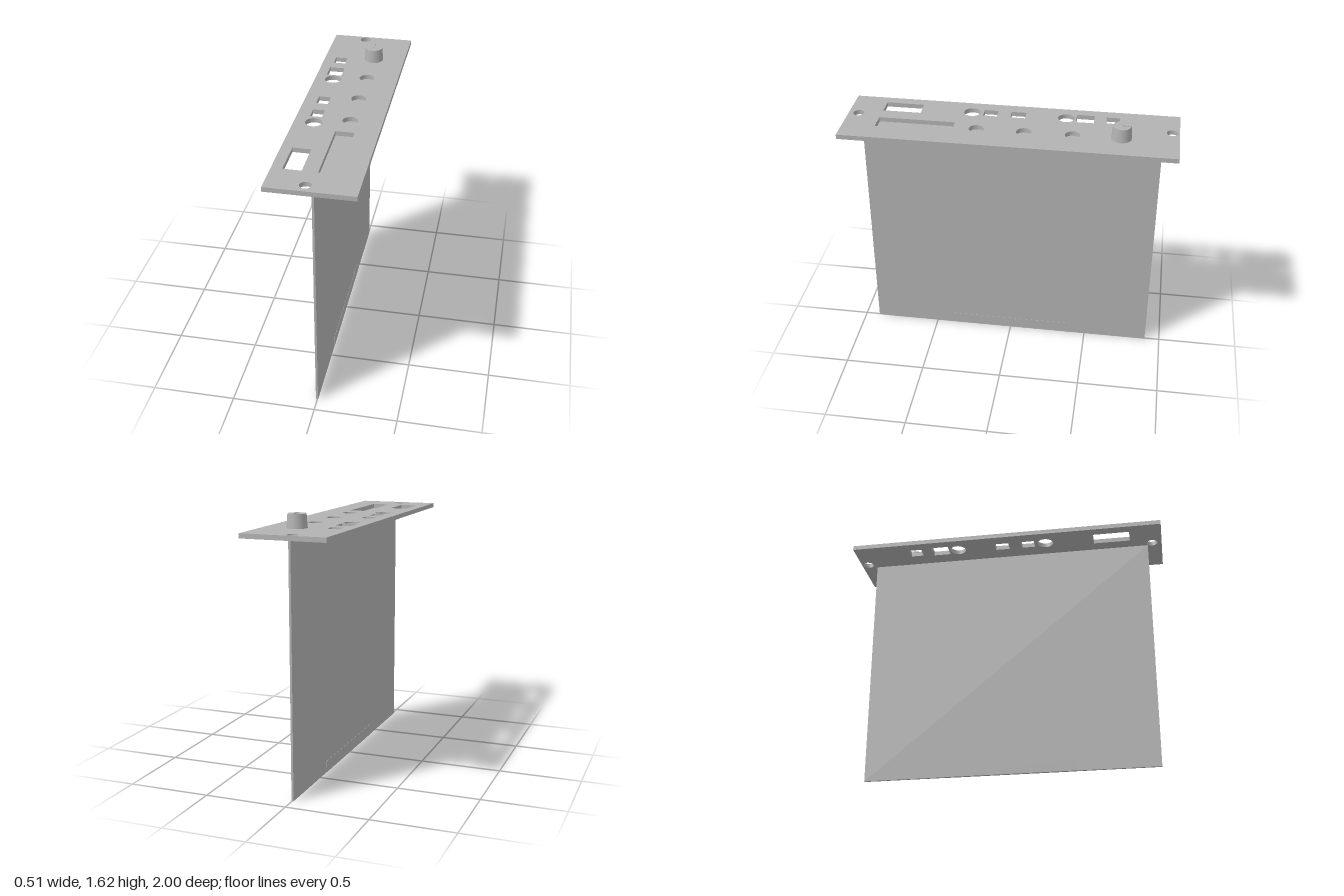
import * as THREE from 'three';

const PANEL_BOTTOM = 1.508, PANEL_TOP = 1.536;

export function createModel() {
  const model = new THREE.Group();
  const grey = new THREE.MeshStandardMaterial({ color: 0xb2b2b2 });
  grey.name = 'plain grey';

  const add = (name, geometry, x = 0, y = 0, z = 0) => {
    const mesh = new THREE.Mesh(geometry, grey);
    mesh.name = name;
    mesh.position.set(x, y, z);
    model.add(mesh);
    return mesh;
  };
  // Box given by its limits on each axis
  const addBox = (name, [x0, x1], [y0, y1], [z0, z1]) =>
    add(name, new THREE.BoxGeometry(x1 - x0, y1 - y0, z1 - z0),
      (x0 + x1) / 2, (y0 + y1) / 2, (z0 + z1) / 2);

  // Outlines lie in plan: shape y is -z
  const rectangle = (path, x0, x1, z0, z1) => {
    path.moveTo(x0, -z0);
    path.lineTo(x0, -z1);
    path.lineTo(x1, -z1);
    path.lineTo(x1, -z0);
    path.closePath();
    return path;
  };

  // Faceplate with its cutouts
  const plate = rectangle(new THREE.Shape(), -0.257, 0.254, -1, 1);
  const roundHoles = [
    [-0.047, -0.956, 0.034], [-0.034, 0.938, 0.034],                        // mounting screws
    [-0.144, -0.32, 0.05], [-0.14, 0.255, 0.05],                            // sockets
    [0.061, -0.376, 0.045], [0.062, -0.087, 0.045], [0.064, 0.196, 0.045],  // dials
  ];
  const squareHoles = [
    [-0.187, -0.113, -0.64, -0.56], [-0.196, -0.103, -0.488, -0.38],
    [-0.178, -0.107, -0.073, 0.017], [-0.178, -0.107, 0.1, 0.184],
    [-0.193, -0.086, 0.566, 0.798], [0.004, 0.114, 0.336, 0.8],
  ];
  for (const [x, z, r] of roundHoles)
    plate.holes.push(new THREE.Path().absarc(x, -z, r, 0, Math.PI * 2, true));
  for (const limits of squareHoles) plate.holes.push(rectangle(new THREE.Path(), ...limits));
  const plateGeometry = new THREE.ExtrudeGeometry(plate, {
    depth: PANEL_TOP - PANEL_BOTTOM, bevelEnabled: false, curveSegments: 24,
  });
  plateGeometry.rotateX(-Math.PI / 2);
  add('faceplate', plateGeometry, 0, PANEL_BOTTOM, 0);

  // Strip closing the dial holes and slider slot from below
  addBox('backingStrip', [-0.002, 0.115], [1.495, PANEL_BOTTOM], [-0.905, 0.91]);

  // Upright circuit board with a slightly thicker edge connector
  addBox('circuitBoard', [-0.009, 0.004], [0, PANEL_BOTTOM], [-0.905, 0.91]);
  addBox('edgeConnector', [-0.0105, 0.0055], [0, 0.072], [-0.4, 0.4]);

  // Tapered knob and its pointer
  add('knob', new THREE.CylinderGeometry(0.054, 0.06, 0.082, 48),
    0.057, PANEL_TOP + 0.041, -0.662);
  addBox('knobPointer', [0.053, 0.061], [1.612, 1.622], [-0.712, -0.66]);

  return model;
}
